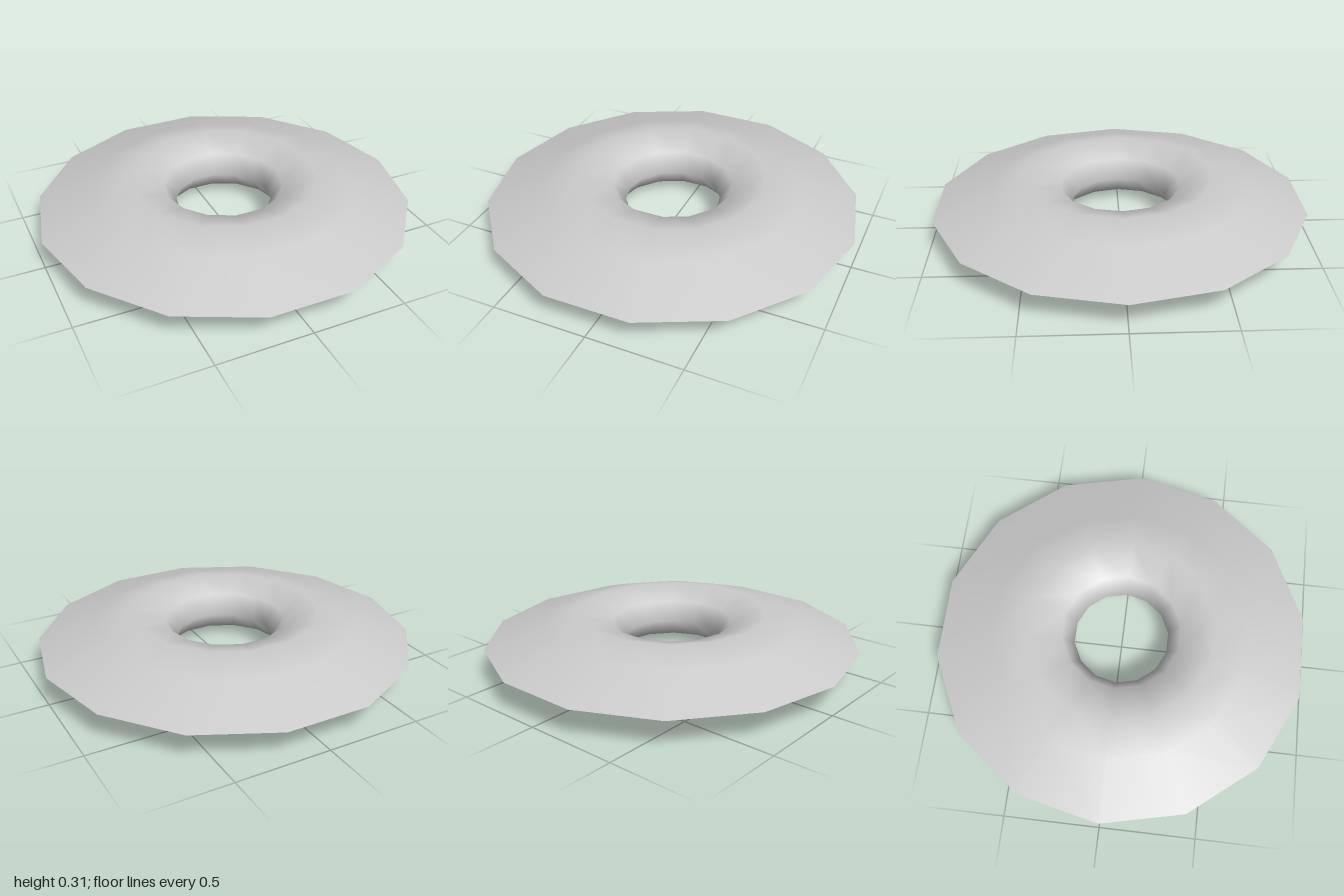
import * as THREE from 'three';

const SIDES = 14;
const MID = 0.153; // height of the sharp outer rim

export function createModel() {
  const group = new THREE.Group();
  group.name = 'throwingRing';

  // Upper half of the cross-section, from sharp rim to rounded hole: [radius, height above rim]
  const upper = [[1, 0], [0.69, 0.103], [0.5, 0.153], [0.32, 0.098], [0.255, 0]];
  const lower = upper.slice(0, -1).reverse().map(([r, h]) => [r, -h]);

  // The profile starts and ends at the rim, so only that edge stays creased
  const profile = [...upper, ...lower].map(([r, h]) => new THREE.Vector2(r, MID + h));
  const geometry = new THREE.LatheGeometry(profile, SIDES, Math.PI / 2);

  const ring = new THREE.Mesh(geometry, new THREE.MeshStandardMaterial({ color: 0xcccccc }));
  ring.name = 'ring';
  group.add(ring);
  return group;
}
